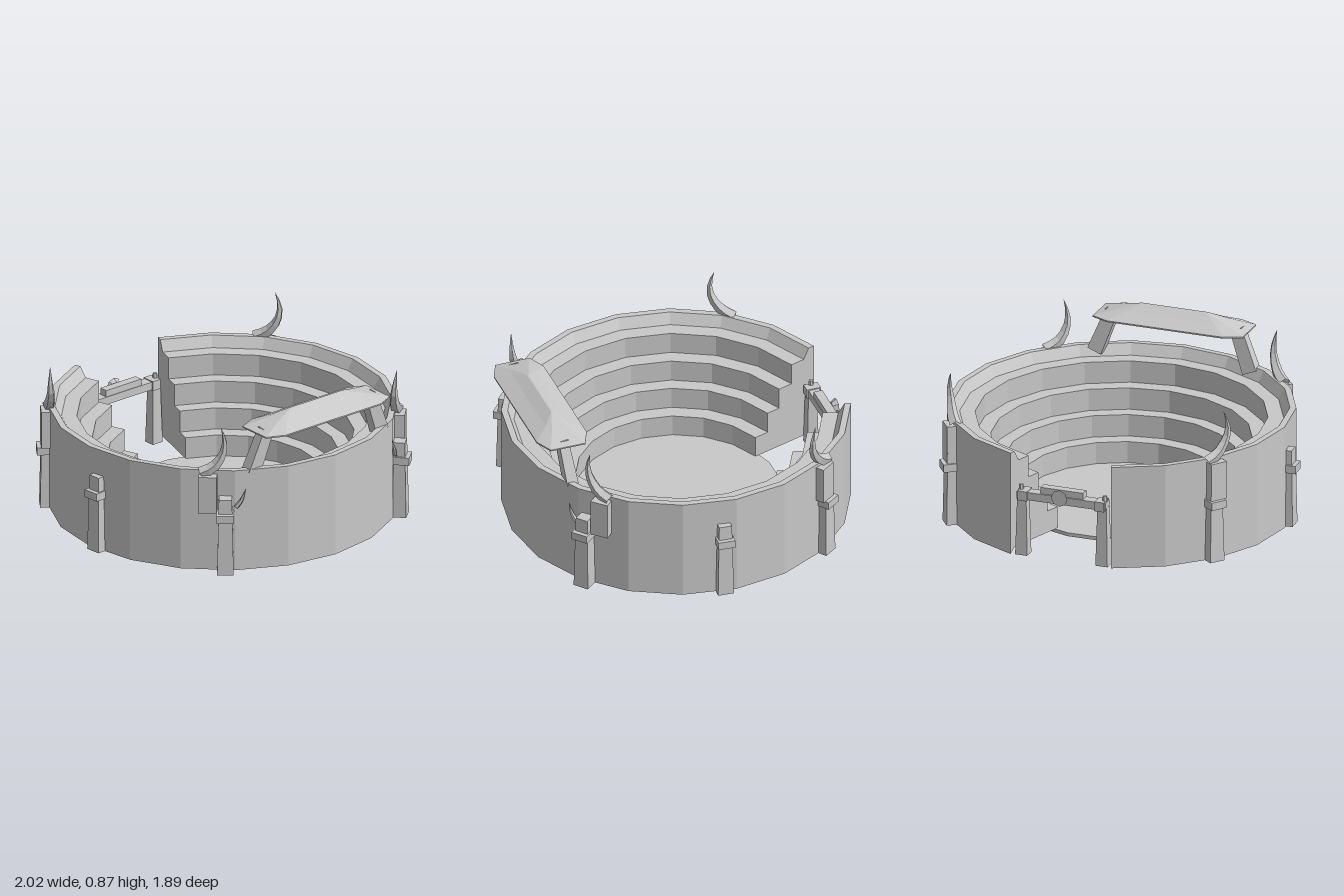
import * as THREE from 'three';

const stone = new THREE.MeshStandardMaterial({ color: 0xc8c8c8, flatShading: true, side: THREE.DoubleSide });
stone.name = 'grey stone';

const CZ = -0.015; // centre of the ring along z
const DEG = Math.PI / 180;

function add(parent, name, geometry, x = 0, y = 0, z = 0) {
  const mesh = new THREE.Mesh(geometry, stone);
  mesh.name = name;
  mesh.position.set(x, y, z);
  parent.add(mesh);
  return mesh;
}

// Box standing on y = 0 whose top is narrowed by a factor
function taperedBox(w, h, d, top = 1) {
  const g = new THREE.BoxGeometry(w, h, d).translate(0, h / 2, 0);
  const p = g.attributes.position;
  for (let i = 0; i < p.count; i++) {
    if (p.getY(i) > h / 2) p.setXYZ(i, p.getX(i) * top, h, p.getZ(i) * top);
  }
  return g;
}

// Tube that narrows to a point along a curve
function hornGeometry(points, radius) {
  const curve = new THREE.CatmullRomCurve3(points.map(p => new THREE.Vector3(...p)));
  const n = 7, sides = 5;
  const g = new THREE.TubeGeometry(curve, n, radius, sides);
  const p = g.attributes.position, v = new THREE.Vector3();
  for (let i = 0; i < p.count; i++) {
    const t = Math.floor(i / (sides + 1)) / n;
    const c = curve.getPointAt(t);
    v.fromBufferAttribute(p, i).sub(c).multiplyScalar(1 - Math.pow(t, 1.5) * 0.98).add(c);
    p.setXYZ(i, v.x, v.y, v.z);
  }
  return g;
}

// Beam between two points
function strut(parent, name, a, b, w, d, top) {
  const from = new THREE.Vector3(...a), dir = new THREE.Vector3(...b).sub(from);
  const mesh = add(parent, name, taperedBox(w, dir.length(), d, top), ...a);
  mesh.quaternion.setFromUnitVectors(new THREE.Vector3(0, 1, 0), dir.normalize());
  return mesh;
}

// Buttress post with a collar, facing outward at an angle from the front
function buttress(parent, x, z, angle) {
  const post = new THREE.Group();
  post.name = 'buttress';
  post.position.set(x, 0, z);
  post.rotation.y = angle * DEG;
  add(post, 'buttressPost', taperedBox(0.09, 0.44, 0.085, 0.8));
  add(post, 'buttressCollar', new THREE.BoxGeometry(0.095, 0.045, 0.11), 0, 0.335, 0.005);
  parent.add(post);
}

// Canopy: stacked eight-cornered outlines rising to a ridge
function canopyGeometry() {
  const outline = (x, cx, z, cz, y) => [
    [cx, z], [x, cz], [x, -cz], [cx, -z], [-cx, -z], [-x, -cz], [-x, cz], [-cx, z],
  ].map(([px, pz]) => [px, y, pz]);
  const rings = [
    outline(0, 0, 0, 0, 0),
    outline(0.44, 0.34, 0.145, 0.1, 0),
    outline(0.44, 0.34, 0.145, 0.1, 0.008),
    outline(0.31, 0.26, 0.065, 0.045, 0.045),
    outline(0.19, 0.19, 0.006, 0.006, 0.08),
    outline(0, 0, 0, 0, 0.08),
  ];
  const index = [];
  for (let r = 0; r < rings.length - 1; r++) {
    for (let i = 0; i < 8; i++) {
      const j = (i + 1) % 8, a = r * 8 + i, b = r * 8 + j;
      index.push(a, b, b + 8, a, b + 8, a + 8);
    }
  }
  const g = new THREE.BufferGeometry();
  g.setAttribute('position', new THREE.Float32BufferAttribute(rings.flat(2), 3));
  g.setIndex(index);
  g.computeVertexNormals();
  return g;
}

export function createModel() {
  const model = new THREE.Group();
  model.name = 'arena';

  // Outer wall, parapet and stepped seating, open at the back
  const profile = [[0.955, 0], [0.955, 0.59], [0.92, 0.59], [0.885, 0.53]];
  [0.8, 0.715, 0.635, 0.55].forEach((r, i) => {
    const y = 0.53 - i * 0.125;
    profile.push([r, y], [r, y - 0.125]);
  });
  const points = profile.map(p => new THREE.Vector2(...p));
  add(model, 'wallAndSeating', new THREE.LatheGeometry(points, 18, -162 * DEG, 324 * DEG), 0, 0, CZ);

  // Ends of the seating beside the entrance
  const section = new THREE.Shape([...points, new THREE.Vector2(0.92, 0.03)]);
  for (const a of [-162, 162]) {
    const end = add(model, 'seatingEnd', new THREE.ShapeGeometry(section), 0, 0, CZ);
    end.rotation.y = (a - 90) * DEG;
  }

  // Arena floor
  const floor = new THREE.CylinderGeometry(0.582, 0.582, 0.02, 20, 1, false, 9 * DEG);
  add(model, 'floor', floor, 0, 0.022, CZ);

  for (const s of [1, -1]) {
    const side = new THREE.Group();
    side.name = s > 0 ? 'leftSide' : 'rightSide';
    side.scale.x = s;
    model.add(side);

    // Buttresses
    buttress(side, 0.62, 0.745, 40);
    buttress(side, 0.945, 0.055, 86);
    buttress(side, 0.765, -0.595, 126);

    // Horn sockets on the wall
    const frontSocket = add(side, 'hornSocket', new THREE.BoxGeometry(0.1, 0.215, 0.07), 0.68, 0.46, 0.668);
    frontSocket.rotation.y = 45 * DEG;
    const backSocket = add(side, 'hornSocket', new THREE.BoxGeometry(0.1, 0.215, 0.07), 0.775, 0.465, -0.585);
    backSocket.rotation.y = 126 * DEG;

    // Horns
    add(side, 'frontHorn', hornGeometry([[0.7, 0.575, 0.63], [0.645, 0.61, 0.675],
      [0.607, 0.69, 0.71], [0.605, 0.77, 0.72], [0.625, 0.845, 0.715]], 0.036));
    add(side, 'backHorn', hornGeometry([[0.735, 0.575, -0.62], [0.775, 0.61, -0.565],
      [0.807, 0.69, -0.515], [0.815, 0.77, -0.51], [0.8, 0.845, -0.53]], 0.036));

    // Small thorn beside the front buttress
    add(side, 'thorn', hornGeometry([[0.565, 0.38, 0.77], [0.545, 0.42, 0.79], [0.52, 0.485, 0.8]], 0.014));

    // Canopy support
    strut(side, 'canopySupport', [0.455, 0.56, 0.765], [0.365, 0.795, 0.785], 0.085, 0.065, 0.85);

    // Gate post with a bracket and peg
    add(side, 'gatePost', taperedBox(0.07, 0.34, 0.065, 0.75), 0.235, 0, -0.885);
    add(side, 'gateBracket', new THREE.BoxGeometry(0.055, 0.055, 0.08), 0.225, 0.35, -0.888);
    add(side, 'gatePeg', new THREE.CylinderGeometry(0.012, 0.015, 0.03, 6), 0.245, 0.39, -0.888);
  }

  // Canopy over the front seats
  add(model, 'canopy', canopyGeometry(), 0, 0.786, 0.775);

  // Gate beam, top block and round boss
  add(model, 'gateBeam', new THREE.BoxGeometry(0.52, 0.045, 0.062), 0, 0.35, -0.888);
  add(model, 'gateBlock', new THREE.BoxGeometry(0.25, 0.04, 0.05), 0, 0.39, -0.885);
  const boss = add(model, 'gateBoss', new THREE.CylinderGeometry(0.03, 0.048, 0.03, 8), 0, 0.375, -0.932);
  boss.rotation.x = Math.PI / 2;

  return model;
}
